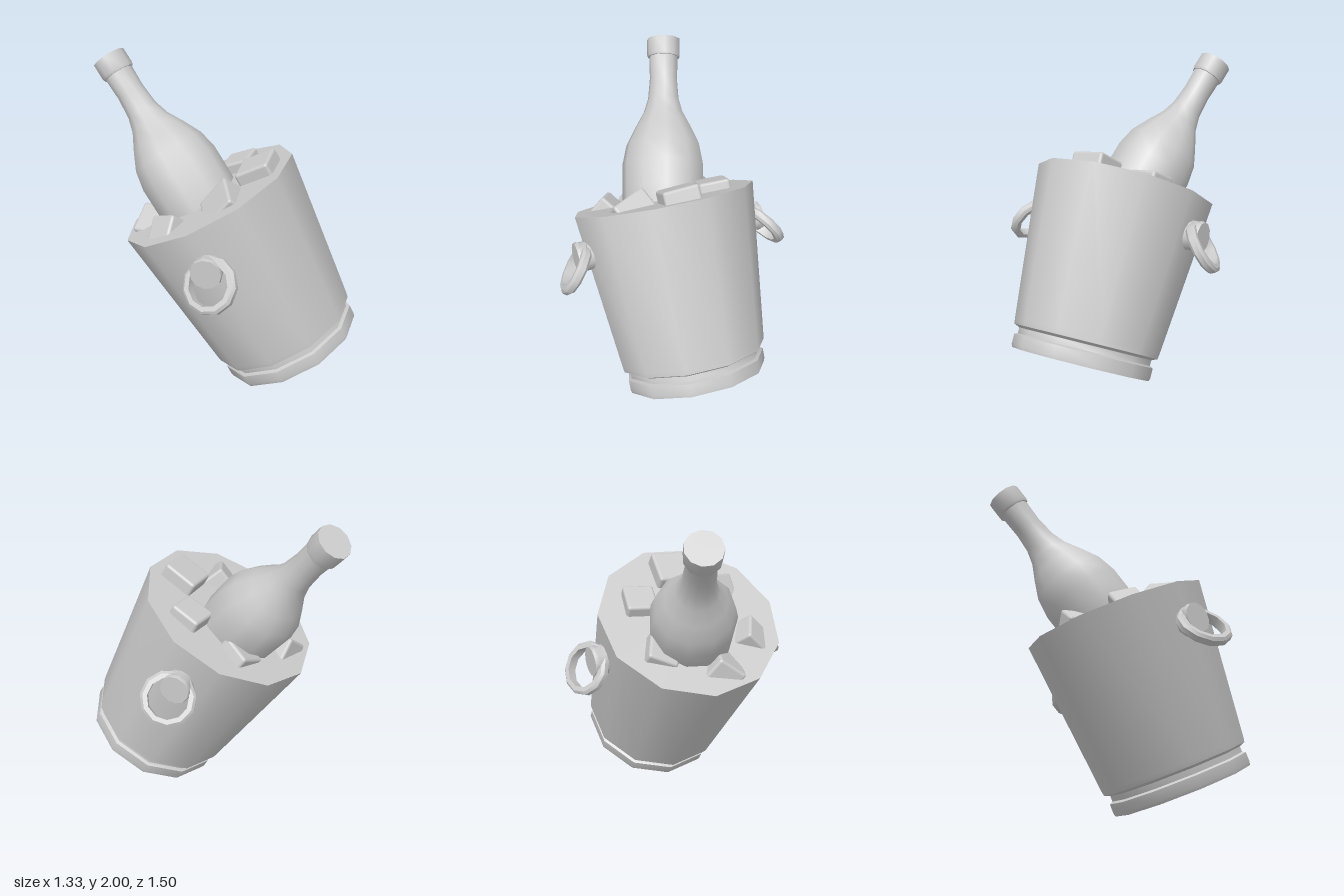
import * as THREE from 'three';
import { toCreasedNormals } from 'three/addons/utils/BufferGeometryUtils.js';
import { RoundedBoxGeometry } from 'three/addons/geometries/RoundedBoxGeometry.js';

const SIDES = 11;
const UP = new THREE.Vector3(0, 1, 0);
const material = new THREE.MeshStandardMaterial({ color: 0xcccccc });

function part(name, geometry, parent) {
  const mesh = new THREE.Mesh(geometry, material);
  mesh.name = name;
  parent.add(mesh);
  return mesh;
}

// Solid of revolution from [radius, height] pairs, listed bottom to top
function turned(profile) {
  const points = profile.map(([r, y]) => new THREE.Vector2(r, y));
  return toCreasedNormals(new THREE.LatheGeometry(points, SIDES), 0.7);
}

// Group whose y axis leans along the given direction
function leaning(name, position, direction, parent) {
  const group = new THREE.Group();
  group.name = name;
  group.position.set(...position);
  group.quaternion.setFromUnitVectors(UP, direction);
  parent.add(group);
  return group;
}

export function createModel() {
  const model = new THREE.Group();
  model.name = 'iceBucketWithBottle';

  const bucketAxis = new THREE.Vector3(-0.412, 1.002, -0.35).normalize();
  const bucket = leaning('bucket', [0.262, 0.203, 0.34], bucketAxis, model);
  const body = new THREE.Group();
  body.name = 'bucketBody';
  body.rotation.y = -0.715;
  bucket.add(body);

  // Foot ring, groove, overhanging lip, flared wall and flat fill level
  part('bucketShell', turned([
    [0, 0], [0.434, 0], [0.44, 0.02], [0.44, 0.08], [0.42, 0.09],
    [0.42, 0.125], [0.455, 0.14], [0.46, 0.17], [0.563, 1.139], [0, 1.139],
  ]), body);

  // Knob and hanging band ring on two opposite sides
  for (const [side, turn] of [['front', 0], ['back', Math.PI]]) {
    const handle = new THREE.Group();
    handle.name = side + 'Handle';
    handle.rotation.y = turn;
    body.add(handle);

    const knob = part(side + 'Knob', turned([
      [0, 0], [0.09, 0], [0.09, 0.085], [0.095, 0.1], [0.09, 0.12], [0, 0.12],
    ]), handle);
    knob.position.set(0, 0.9, 0.485);
    knob.rotation.x = Math.PI / 2;

    const ring = part(side + 'Ring', turned([
      [0.122, -0.03], [0.15, -0.03], [0.166, -0.015], [0.166, 0.015],
      [0.15, 0.03], [0.122, 0.03], [0.122, -0.03],
    ]), handle);
    ring.position.set(0, 0.837, 0.62);
    ring.rotation.x = Math.PI / 2 - 0.63;
  }

  // Bottle, measured downward from the top of its cap
  const bottleAxis = new THREE.Vector3(-0.288, 0.772, -0.573).normalize();
  const bottle = leaning('bottle', [-0.478, 1.932, -0.662], bottleAxis, model);
  part('bottleGlass', turned([
    [0, -1.25], [0.23, -1.25], [0.25, -1.2], [0.257, -0.95], [0.258, -0.8],
    [0.234, -0.68], [0.18, -0.57], [0.125, -0.47], [0.098, -0.38],
    [0.087, -0.25], [0.092, -0.1], [0, -0.1],
  ]), bottle);
  part('bottleCap', turned([
    [0, -0.115], [0.1, -0.115], [0.105, -0.1], [0.105, 0], [0, 0],
  ]), bottle);

  // Ice cubes: x, z, size, sink below the fill level, then yaw, pitch, roll
  const cubes = [
    [0.08, 0.21, 0.22, 0.03, 0.75, 0, 0.05],
    [0.14, -0.11, 0.19, 0.03, 0.67, 0.08, 0],
    [-0.2, 0.27, 0.23, 0.065, -0.5, 0.35, 0.42],
    [-0.49, 0.11, 0.18, 0.04, 0.35, 0.1, 0.65],
    [-0.09, -0.325, 0.19, 0.05, 0.39, 0, 0.25],
    [-0.43, -0.19, 0.2, 0.05, 0.5, 0.4, 0.5],
  ];
  const iceCubes = new THREE.Group();
  iceCubes.name = 'iceCubes';
  model.add(iceCubes);
  cubes.forEach(([x, z, size, sink, yaw, pitch, roll], i) => {
    const cube = part('iceCube' + (i + 1), new RoundedBoxGeometry(size, size, size, 2, 0.018), iceCubes);
    const level = 1.205 + 0.411 * (x + 0.15) + 0.349 * (z + 0.01);
    cube.position.set(x, level, z).addScaledVector(bucketAxis, -sink);
    cube.quaternion.copy(bucket.quaternion).multiply(
      new THREE.Quaternion().setFromEuler(new THREE.Euler(pitch, yaw, roll, 'YXZ')));
  });

  return model;
}
